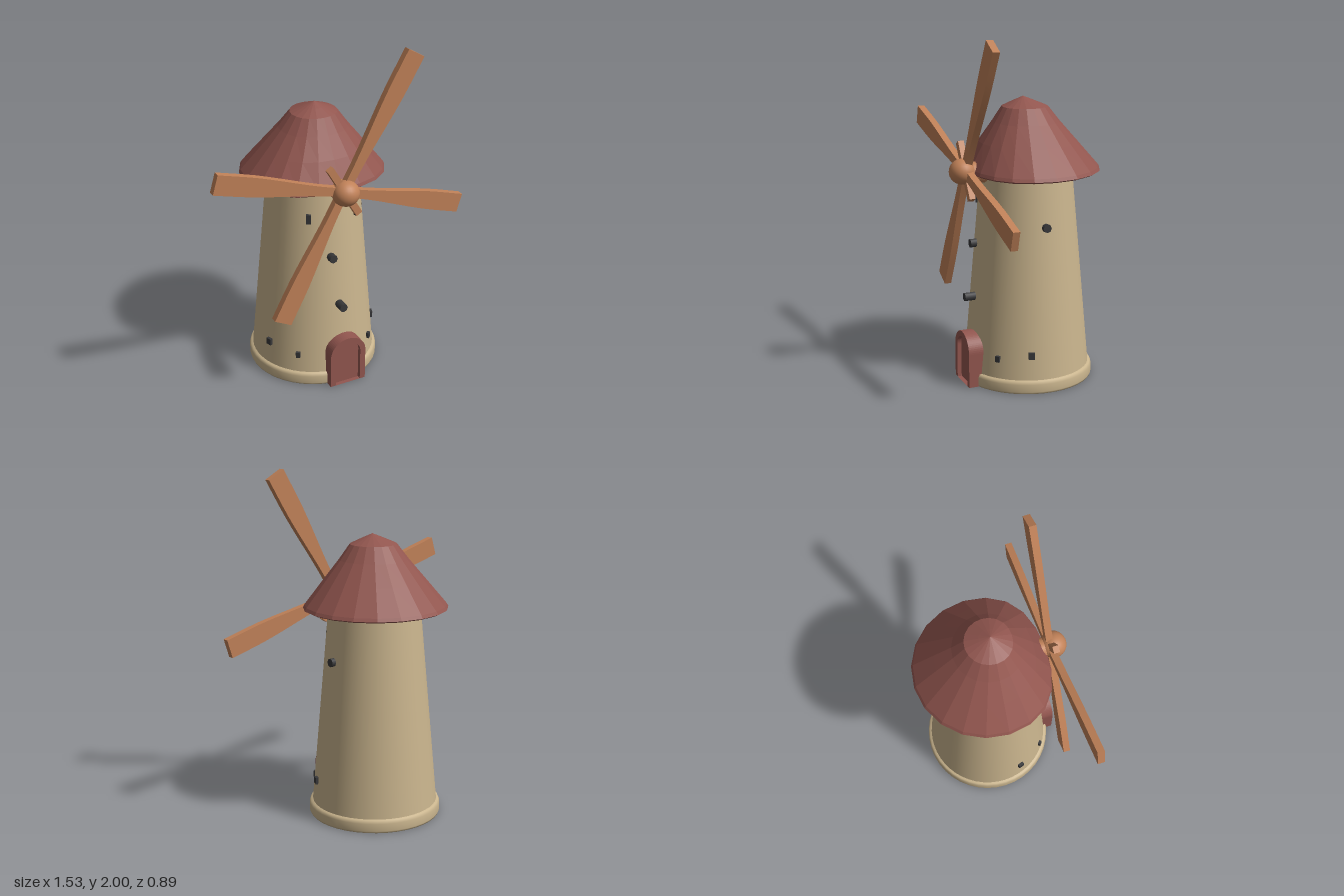
import * as THREE from 'three';

const mat = (name, color, extra = {}) => {
  const m = new THREE.MeshStandardMaterial({ color, ...extra });
  m.name = name;
  return m;
};

export function createModel() {
  const group = new THREE.Group();
  const plaster = mat('plaster', 0xc9b48d);
  const red = mat('red', 0x92564f);
  const wood = mat('wood', 0xc08158);
  const dark = mat('dark', 0x38383a);
  const CZ = -0.02; // tower axis

  const add = (name, geometry, material, x = 0, y = 0, z = 0, parent = group) => {
    const mesh = new THREE.Mesh(geometry, material);
    mesh.name = name;
    mesh.position.set(x, y, z);
    parent.add(mesh);
    return mesh;
  };
  const lathe = (points, sides) =>
    new THREE.LatheGeometry(points.map(([r, y]) => new THREE.Vector2(r, y)), sides);
  const towerRadius = (y) => 0.366 - (y - 0.08) * 0.088;

  // Tower and its rounded plinth
  add('tower', new THREE.CylinderGeometry(towerRadius(1.26), towerRadius(0.04), 1.22, 48), plaster, 0, 0.65, CZ);
  add('plinth', lathe([[0, 0], [0.382, 0], [0.387, 0.012], [0.386, 0.055], [0.378, 0.073], [0.35, 0.08]], 40), plaster, 0, 0, CZ);

  // Roof cone, pressed in at the front so that the sails clear it
  const press = (geometry) => {
    const g = geometry.toNonIndexed();
    const p = g.attributes.position;
    for (let i = 0; i < p.count; i++) {
      const x = p.getX(i), z = p.getZ(i), r = Math.hypot(x, z);
      if (r < 0.001) continue;
      const k = z > 0 ? 1 - 0.16 * (z / r) ** 2 * (r / 0.42) : 1;
      p.setZ(i, z * k - 0.025 * (r / 0.42));
    }
    g.computeVertexNormals();
    return g;
  };
  add('roof', press(lathe([[0.4, 1.222], [0.42, 1.232], [0.41, 1.25], [0.295, 1.39],
    [0.2, 1.505], [0.135, 1.592], [0.06, 1.625], [0, 1.65]], 20)), red);
  add('roofUnderside', press(lathe([[0.2, 1.255], [0.26, 1.25], [0.4, 1.222]], 20)), wood);

  // Hub, shaft and short crossbar
  const hub = add('hub', new THREE.SphereGeometry(0.078, 24, 16), wood, 0.005, 1.243, 0.373);
  hub.scale.set(1, 0.94, 0.97);
  const shaft = add('shaft', new THREE.CylinderGeometry(0.055, 0.075, 0.2, 16), wood, 0.005, 1.235, 0.25);
  shaft.rotation.x = Math.PI / 2;
  const bar = add('crossbar', new THREE.BoxGeometry(0.35, 0.04, 0.035), wood, 0.005, 1.245, 0.352);
  bar.rotation.z = THREE.MathUtils.degToRad(121);

  // Sails widen from the hub to the tip
  const sails = new THREE.Group();
  sails.name = 'sails';
  sails.position.set(0, 1.245, 0.35);
  group.add(sails);
  const sailGeometry = (length, lean) => {
    const g = new THREE.BoxGeometry(length, 1, 0.04, 10, 1, 1);
    g.translate(length / 2, 0, 0);
    const p = g.attributes.position;
    for (let i = 0; i < p.count; i++) {
      const t = p.getX(i) / length;
      const width = 0.052 + 0.06 * THREE.MathUtils.smoothstep(t, 0.1, 0.8);
      p.setY(i, p.getY(i) * width);
      p.setZ(i, p.getZ(i) + lean * t);
    }
    g.computeVertexNormals();
    return g;
  };
  for (const [angle, length, lean] of [[60, 0.845, 0], [164, 0.785, 0.013], [242.5, 0.823, 0], [-16.8, 0.78, 0.013]]) {
    const sail = add('sail', sailGeometry(length, lean), wood, 0, 0, 0, sails);
    sail.rotation.z = THREE.MathUtils.degToRad(angle);
  }

  // Arched door with a raised frame
  const arch = (path, half, top) => {
    const r = half * 0.95;
    path.moveTo(-half, 0);
    path.lineTo(half, 0);
    path.lineTo(half, top - r);
    path.absellipse(0, top - r, half, r, 0, Math.PI, false);
    path.lineTo(-half, 0);
    return path;
  };
  const frame = arch(new THREE.Shape(), 0.114, 0.307);
  frame.holes.push(arch(new THREE.Path(), 0.08, 0.275));
  const extrude = (shape, depth) =>
    new THREE.ExtrudeGeometry(shape, { depth, bevelEnabled: false, curveSegments: 16 });
  add('doorFrame', extrude(frame, 0.125), red, 0.025, 0, 0.27);
  add('door', extrude(arch(new THREE.Shape(), 0.082, 0.277), 0.1), red, 0.025, 0, 0.27);

  // Small dark windows set square to the tower wall
  const windows = [[0.148, 1.04, 0.028, 0.055], [-0.145, 1.05, 0.028, 0.055],
    [0.23, 0.19, 0.025, 0.035], [-0.23, 0.19, 0.025, 0.035],
    [0.336, 0.22, 0.035, 0.04], [-0.336, 0.22, 0.035, 0.04]];
  for (const [x, y, w, h] of windows) {
    const r = towerRadius(y);
    const z = Math.sqrt(Math.max(0, r * r - x * x));
    const pane = add('window', new THREE.BoxGeometry(w, h, 0.03), dark, x, y, z + CZ);
    pane.rotation.y = Math.atan2(x, z);
  }

  // Round dark pegs: two at the front, one on the left side
  const pegGeometry = (depth) => new THREE.CylinderGeometry(0.025, 0.025, depth, 8).rotateX(Math.PI / 2);
  add('peg', pegGeometry(0.06), dark, -0.035, 0.81, 0.287);
  add('peg', pegGeometry(0.08), dark, 0.005, 0.505, 0.33);
  add('sidePeg', pegGeometry(0.04), dark, 0.293, 0.945, -0.015).rotation.y = Math.PI / 2;

  return group;
}
